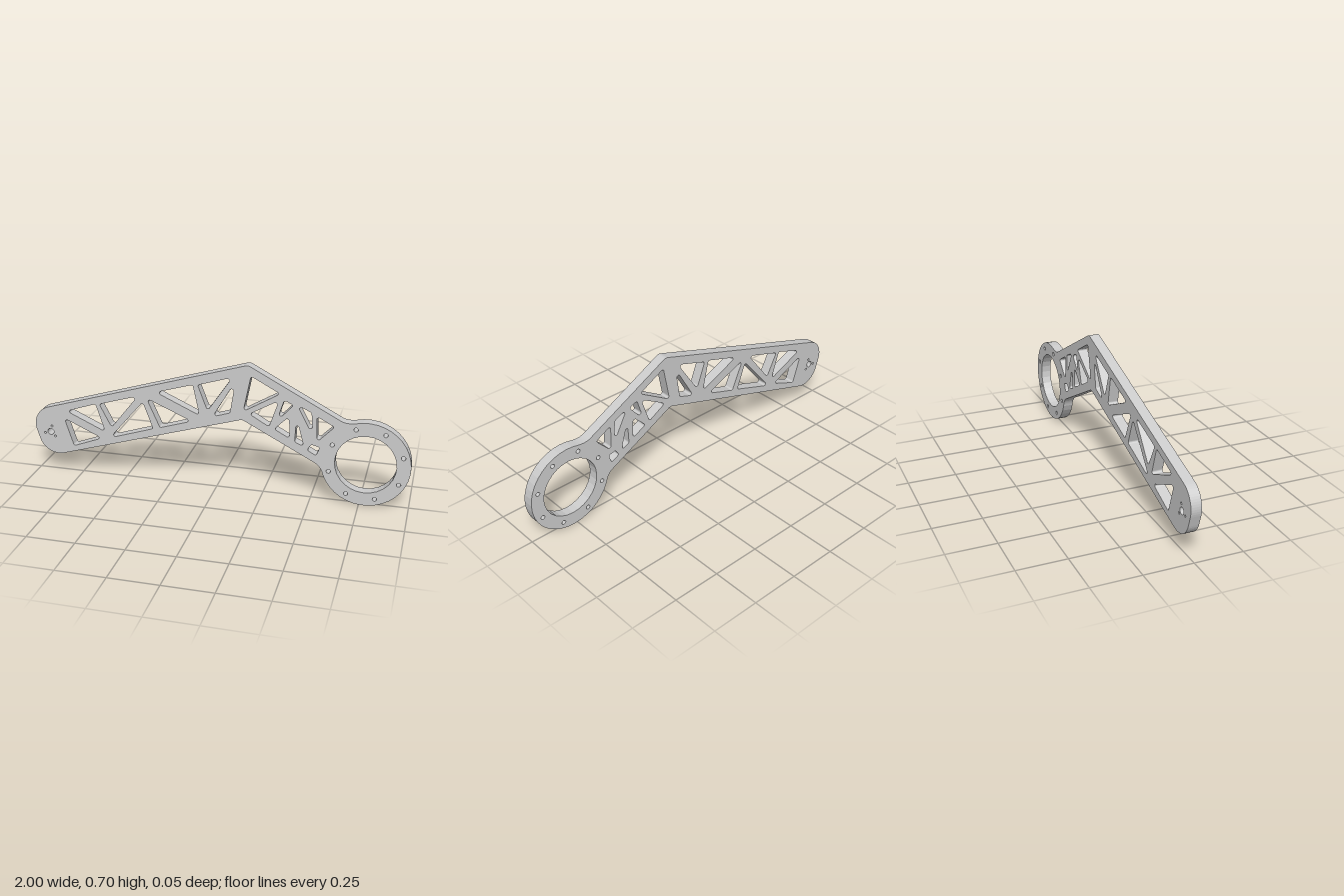
import * as THREE from 'three';

// Adds a polygon to a path with every corner [x, y, r] rounded by a tangent arc
function roundCorners(path, corners, radius, closed = true) {
  const pts = corners.map(([x, y]) => new THREE.Vector2(x, y));
  const n = pts.length;
  corners.forEach(([, , r = radius], i) => {
    if (!closed && (i === 0 || i === n - 1)) {
      if (i === 0) path.moveTo(pts[0].x, pts[0].y);
      else path.lineTo(pts[i].x, pts[i].y);
      return;
    }
    const p = pts[i];
    const a = pts[(i + n - 1) % n].clone().sub(p);
    const b = pts[(i + 1) % n].clone().sub(p);
    const limit = 0.4 * Math.min(a.length(), b.length());
    a.normalize();
    b.normalize();
    const angle = Math.acos(a.dot(b));
    const cut = Math.min(r / Math.tan(angle / 2), limit);
    const handle = (4 / 3) * Math.tan((Math.PI - angle) / 4) * cut * Math.tan(angle / 2);
    const at = (dir, d) => p.clone().addScaledVector(dir, d);
    const start = at(a, cut), end = at(b, cut);
    const c1 = at(a, cut - handle), c2 = at(b, cut - handle);
    if (closed && i === 0) path.moveTo(start.x, start.y);
    else path.lineTo(start.x, start.y);
    path.bezierCurveTo(c1.x, c1.y, c2.x, c2.y, end.x, end.y);
  });
  if (closed) path.closePath();
  return path;
}

function circle(x, y, r) {
  const path = new THREE.Path();
  path.absarc(x, y, r, 0, Math.PI * 2, false);
  return path;
}

const polar = (x, y, r, deg) => {
  const t = THREE.MathUtils.degToRad(deg);
  return [x + r * Math.cos(t), y + r * Math.sin(t)];
};

export function createModel() {
  const group = new THREE.Group();
  group.name = 'trussArm';
  const ring = { x: 0.773, y: 0.226, r: 0.226 };
  const pivot = { x: -0.917, y: 0.227 };

  // Outline, counter-clockwise: upper edge, rounded end, lower edge, then around the ring
  const shape = new THREE.Shape();
  roundCorners(shape, [
    [0.642, 0.449], [0.166, 0.7, 0.035], [-1.028, 0.336, 0.112],
    [-0.95, 0.077, 0.112], [0.139, 0.406, 0.03], [0.513, 0.211],
  ], 0.03, false);
  shape.quadraticCurveTo(0.551, 0.193, 0.561, 0.147);
  shape.absarc(ring.x, ring.y, ring.r,
    Math.atan2(-0.079, -0.212), Math.atan2(0.219, -0.062), false);
  shape.quadraticCurveTo(0.668, 0.436, 0.642, 0.449);

  // Truss windows: long arm, then short arm
  const windows = [
    [[-0.818, 0.356], [-0.652, 0.412], [-0.604, 0.259]],
    [[-0.834, 0.313], [-0.626, 0.219], [-0.786, 0.158]],
    [[-0.631, 0.414], [-0.417, 0.479], [-0.567, 0.289]],
    [[-0.39, 0.449], [-0.578, 0.227], [-0.337, 0.305]],
    [[-0.369, 0.473], [-0.299, 0.315], [-0.128, 0.369]],
    [[-0.316, 0.511], [-0.12, 0.57], [-0.085, 0.406]],
    [[-0.094, 0.572], [0.086, 0.628], [-0.043, 0.436]],
    [[0.102, 0.607], [-0.016, 0.406], [0.075, 0.436]],
    [[0.182, 0.644], [0.332, 0.564], [0.144, 0.452]],
    [[0.326, 0.527], [0.176, 0.441], [0.278, 0.382]],
    [[0.353, 0.532], [0.401, 0.511], [0.316, 0.414]],
    [[0.38, 0.447], [0.305, 0.372], [0.385, 0.329]],
    [[0.417, 0.516], [0.492, 0.479], [0.503, 0.356]],
    [[0.417, 0.447], [0.46, 0.291], [0.412, 0.313]],
    [[0.519, 0.463], [0.61, 0.414], [0.524, 0.324]],
    [[0.497, 0.307], [0.54, 0.297], [0.524, 0.249], [0.476, 0.275]],
  ];
  for (const w of windows) shape.holes.push(roundCorners(new THREE.Path(), w, 0.01));

  // Ring bore with its eight bolt holes
  shape.holes.push(circle(ring.x, ring.y, 0.155));
  for (let i = 0; i < 8; i++) {
    shape.holes.push(circle(...polar(ring.x, ring.y, 0.193, 107 + i * 45), 0.011));
  }

  // Pivot hole with three small screw holes
  shape.holes.push(circle(pivot.x, pivot.y, 0.018));
  for (let i = 0; i < 3; i++) {
    shape.holes.push(circle(...polar(pivot.x, pivot.y, 0.034, 76 + i * 120), 0.006));
  }

  // Flat plate cut through by all the holes
  const depth = 0.054;
  const geometry = new THREE.ExtrudeGeometry(shape, { depth, bevelEnabled: false, curveSegments: 14 });
  geometry.translate(0, 0, -depth / 2);
  const plate = new THREE.Mesh(geometry, new THREE.MeshStandardMaterial({ color: 0xcccccc }));
  plate.name = 'armPlate';
  group.add(plate);
  return group;
}
